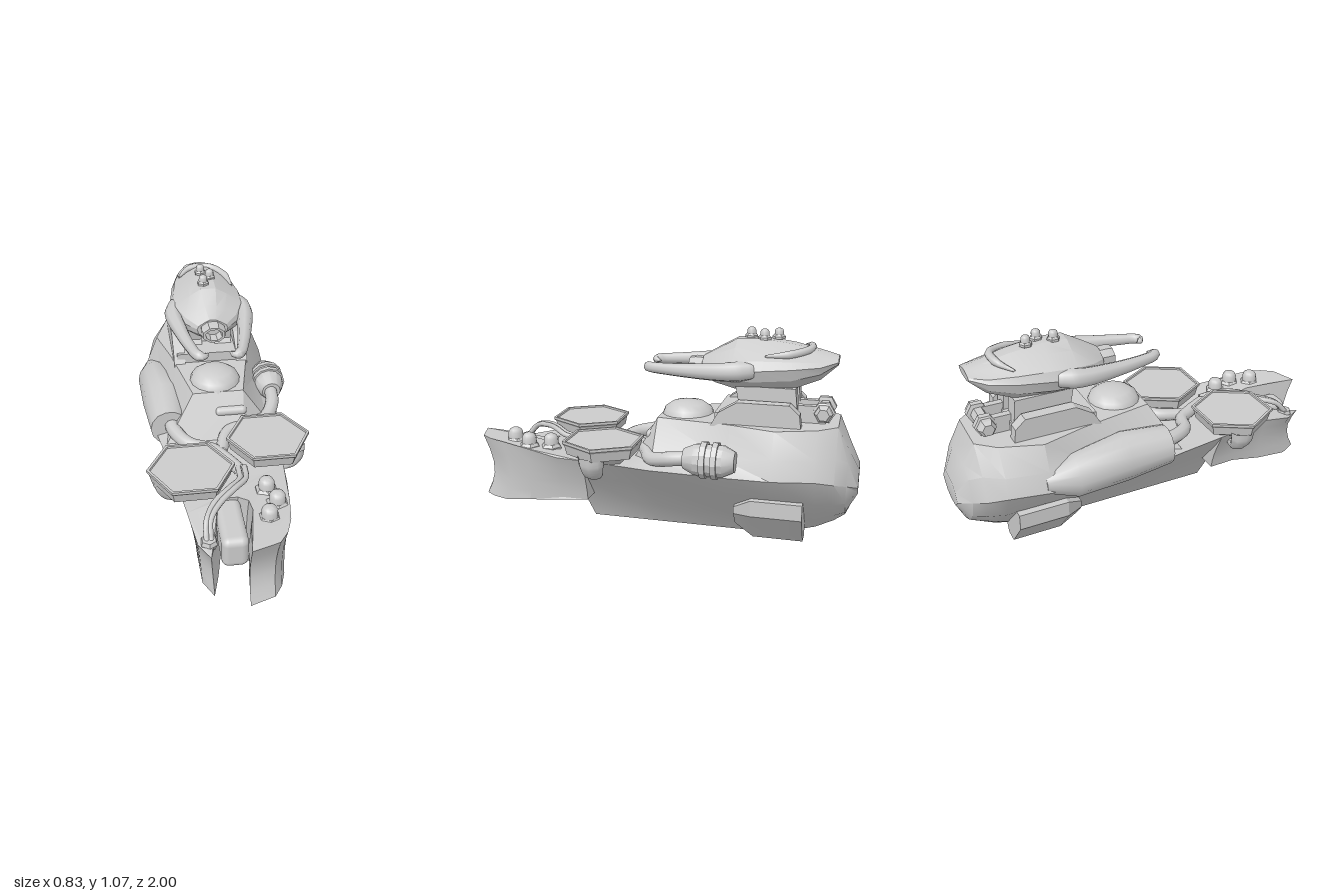
import * as THREE from 'three';
import { toCreasedNormals } from 'three/addons/utils/BufferGeometryUtils.js';
import { RoundedBoxGeometry } from 'three/addons/geometries/RoundedBoxGeometry.js';

const mat = new THREE.MeshStandardMaterial({ color: 0xcccccc, side: THREE.DoubleSide });
const V = (x, y, z) => new THREE.Vector3(x, y, z);
const { lerp, smoothstep, clamp } = THREE.MathUtils;
const MID = -0.01; // centre line of the hull and turret

// Skin closed rings (counter-clockwise seen from +z, z increasing) and cap both ends
function loft(rings, crease = 0.5) {
  const n = rings[0].length, pos = [];
  const tri = (...p) => p.forEach(v => pos.push(v.x, v.y, v.z));
  for (let i = 0; i < rings.length - 1; i++) for (let j = 0; j < n; j++) {
    const k = (j + 1) % n, a = rings[i], b = rings[i + 1];
    tri(a[j], a[k], b[k]);
    tri(a[j], b[k], b[j]);
  }
  [rings[0], rings.at(-1)].forEach((r, e) => {
    const c = r.reduce((s, p) => s.add(p), V(0, 0, 0)).divideScalar(n);
    r.forEach((p, j) => (e ? tri(c, p, r[(j + 1) % n]) : tri(c, r[(j + 1) % n], p)));
  });
  const g = new THREE.BufferGeometry();
  g.setAttribute('position', new THREE.Float32BufferAttribute(pos, 3));
  return toCreasedNormals(g, crease);
}

// Tube through points whose radius follows a list of values
function pipe(points, radii, sides = 10, n = 28) {
  const curve = new THREE.CatmullRomCurve3(points.map(p => V(...p)));
  const g = new THREE.TubeGeometry(curve, n, 1, sides), pos = g.attributes.position, v = V(0, 0, 0);
  for (let i = 0; i < pos.count; i++) {
    const t = Math.floor(i / (sides + 1)) / n, c = curve.getPointAt(t);
    const f = t * (radii.length - 1), k = Math.min(Math.floor(f), radii.length - 2);
    v.fromBufferAttribute(pos, i).sub(c).multiplyScalar(lerp(radii[k], radii[k + 1], f - k)).add(c);
    pos.setXYZ(i, v.x, v.y, v.z);
  }
  return toCreasedNormals(g, 0.9);
}

const lathe = (pts, seg, crease = 0.6) =>
  toCreasedNormals(new THREE.LatheGeometry(pts.map(p => new THREE.Vector2(...p)), seg), crease);

// Side profile in (z, y) given a thickness along x, centred on x = 0
function slab(profile, width) {
  const s = new THREE.Shape(profile.map(([z, y]) => new THREE.Vector2(-z, y)));
  return new THREE.ExtrudeGeometry(s, { depth: width, bevelEnabled: false })
    .translate(0, 0, -width / 2).rotateY(Math.PI / 2);
}

const mirrorRing = half => [...half, ...half.slice().reverse().map(p => V(-p.x, p.y, p.z))];

export function createModel() {
  const model = new THREE.Group();
  const add = (name, geo, x = 0, y = 0, z = 0, parent = model) => {
    const m = new THREE.Mesh(geo, mat);
    m.name = name;
    m.position.set(x, y, z);
    parent.add(m);
    return m;
  };

  // Main hull: z, keel height, then (x, y) from low side up to deck edge
  const stations = [
    [-1, 0.27, 0.07, 0.28, 0.1, 0.3, 0.13, 0.33, 0.1, 0.37, 0.06, 0.4],
    [-0.945, 0.14, 0.08, 0.18, 0.17, 0.26, 0.205, 0.36, 0.17, 0.47, 0.09, 0.51],
    [-0.89, 0.1, 0.09, 0.16, 0.2, 0.26, 0.26, 0.38, 0.22, 0.5, 0.12, 0.625],
    [-0.8, 0.055, 0.1, 0.13, 0.23, 0.26, 0.305, 0.4, 0.28, 0.5, 0.2, 0.625],
    [-0.6, 0, 0.1, 0.12, 0.25, 0.28, 0.345, 0.4, 0.32, 0.5, 0.27, 0.625],
    [-0.38, 0, 0.1, 0.12, 0.25, 0.28, 0.345, 0.4, 0.27, 0.46, 0.21, 0.625],
    [0, 0, 0.08, 0.12, 0.22, 0.28, 0.33, 0.4, 0.26, 0.42, 0.13, 0.615],
    [0.12, 0, 0.075, 0.12, 0.21, 0.28, 0.31, 0.4, 0.28, 0.4, 0.12, 0.4],
    [0.385, 0, 0.05, 0.12, 0.18, 0.28, 0.265, 0.4, 0.25, 0.4, 0.12, 0.4],
  ];
  add('hull', loft(stations.map(([z, keel, ...p]) => {
    const rake = z > 0.3 ? 0.3 : 0;
    const half = [V(0.002, keel, z)];
    for (let i = 0; i < p.length; i += 2) half.push(V(p[i], p[i + 1], z + rake * Math.min(p[i + 1], 0.15)));
    return mirrorRing(half);
  }), 0.5), MID);

  // Forked prow: plan shape pulled downward, then flared and pinched at the nose
  const plan = [[0.265, 0.36], [0.255, 0.5], [0.23, 0.68], [0.205, 0.82], [0.175, 0.9], [0.13, 0.96], [0, 1], [0.02, 0.85],
    [0.05, 0.72], [0.045, 0.64], [0, 0.6], [-0.06, 0.6], [-0.105, 0.66], [-0.13, 0.8], [-0.165, 0.92], [-0.215, 0.83],
    [-0.245, 0.66], [-0.265, 0.5], [-0.285, 0.36]];
  const prow = new THREE.ExtrudeGeometry(new THREE.Shape(plan.map(p => new THREE.Vector2(...p))),
    { depth: 0.28, steps: 5, bevelEnabled: false }).rotateX(Math.PI / 2).translate(0, 0.4, 0);
  const pp = prow.attributes.position;
  for (let i = 0; i < pp.count; i++) {
    let x = pp.getX(i), y = pp.getY(i), z = pp.getZ(i);
    const t = clamp((y - 0.12) / 0.28, 0, 1), f = smoothstep(z, 0.45, 1);
    x *= lerp(lerp(0.68, 0.92, smoothstep(z, 0.4, 0.85)), 1, Math.pow(t, 1.4));
    y += (1 - t) * 0.04 * (1 - smoothstep(z, 0.5, 0.8));
    y += t * t * (x < -0.1 ? -0.045 * smoothstep(z, 0.66, 0.85) : 0.05 * smoothstep(z, 0.45, 0.85));
    z -= 0.05 * f * Math.sin(Math.PI * t);
    pp.setXYZ(i, x, y, z);
  }
  add('prow', toCreasedNormals(prow, 0.5));
  add('prowCore', new RoundedBoxGeometry(0.125, 0.16, 0.34, 3, 0.035), -0.05, 0.32, 0.71);
  add('hornCup', lathe([[0, -0.03], [0.03, -0.03], [0.042, 0], [0.035, 0.02], [0, 0.02]], 6, 0.3), -0.165, 0.365, 0.83);

  // Side fairing that the left-hand pipe leaves from
  add('sideFairing', loft([[-0.62, 0.31, 0.43, 0.04, 0.05], [-0.47, 0.3, 0.43, 0.1, 0.11], [-0.2, 0.265, 0.44, 0.125, 0.125],
    [0.04, 0.265, 0.44, 0.1, 0.1]].map(([z, x, y, rx, ry]) => Array.from({ length: 14 }, (_, j) => {
    const a = j / 14 * Math.PI * 2;
    return V(-x + rx * Math.cos(a), y + ry * Math.sin(a), z);
  })), 0.8));

  // Lower side pods
  const pod = [[0.05, 0.07], [0.07, 0.027], [0.14, 0.027], [0.278, 0.19], [0.278, 0.27], [0.18, 0.27]];
  for (const s of [1, -1]) add('sidePod', loft([[-0.75, 1], [-0.5, 1], [-0.41, 0.45]].map(([z, k]) => {
    const r = pod.map(([x, y]) => V(s * (0.17 + (x - 0.17) * k), 0.16 + (y - 0.16) * k, z));
    return s > 0 ? r : r.reverse();
  }), 0.5), MID);

  // Hexagonal pads on curved brackets
  const padProfile = [[0, -0.105], [0.12, -0.105], [0.165, -0.068], [0.188, -0.066], [0.2, -0.02], [0.21, -0.01], [0.21, 0.004],
    [0.196, 0.004], [0.193, -0.004], [0, -0.004]];
  for (const [s, z] of [[1, 0.26], [-1, 0.463]]) {
    const pad = new THREE.Group();
    pad.name = 'hexPad';
    model.add(pad);
    add('padPlate', lathe(padProfile, 6, 0.3).rotateY(Math.PI / 2), s * 0.203, 0.507, z, pad);
    add('padBracket', pipe([[s * 0.345, 0.455, 0], [s * 0.34, 0.405, 0], [s * 0.315, 0.36, 0], [s * 0.24, 0.33, 0]],
      [0.045, 0.043, 0.036, 0.028, 0.015], 8).scale(1, 1, 1.5), 0, 0, z + s * 0.02, pad);
  }

  // Domed studs on hexagonal bases
  const stud = (name, x, y, z, k, parent) => {
    const g = new THREE.Group();
    g.name = name;
    g.position.set(x, y, z);
    g.scale.setScalar(k);
    parent.add(g);
    add('studBase', lathe([[0.055, 0], [0.055, 0.02], [0.042, 0.035], [0, 0.035]], 6, 0.3), 0, 0, 0, g);
    add('studDome', lathe([[0.039, 0.03], [0.038, 0.065], [0.03, 0.08], [0.016, 0.088], [0, 0.09]], 12, 0.9), 0, 0, 0, g);
  };
  [[0.14, 0.57], [0.17, 0.68], [0.115, 0.78]].forEach(([x, z]) => stud('prowStud', x, 0.4 + 0.05 * (z - 0.5), z, 1, model));

  // Pipes, prow cables and the ribbed canister
  add('leftPipe', pipe([[-0.26, 0.46, -0.02], [-0.245, 0.45, 0.08], [-0.18, 0.44, 0.19], [-0.07, 0.43, 0.24], [-0.02, 0.43, 0.31], [0.04, 0.43, 0.42]], [0.04, 0.036, 0.034, 0.032]));
  add('rightPipe', pipe([[0.305, 0.475, -0.2], [0.295, 0.46, -0.1], [0.24, 0.435, 0], [0.14, 0.44, 0.05], [0.02, 0.44, 0.12], [-0.03, 0.43, 0.26]], [0.035, 0.036, 0.036, 0.03]));
  for (const o of [0, 0.03]) add('prowCable', pipe([[0.03 + o, 0.45, 0.42], [0.02 + o, 0.46, 0.52], [-0.04 + o, 0.475, 0.6],
    [-0.12 + o, 0.465, 0.68], [-0.168 + o * 0.6, 0.44, 0.77], [-0.175 + o * 0.7, 0.375, 0.83]], [0.014, 0.014], 8));
  add('canister', lathe([[0, -0.125], [0.05, -0.125], [0.078, -0.07], [0.078, -0.045], [0.09, -0.045], [0.09, -0.018], [0.078, -0.018],
    [0.078, 0.01], [0.09, 0.01], [0.09, 0.038], [0.08, 0.038], [0.076, 0.07], [0.05, 0.125], [0, 0.125]], 12, 0.5)
    .rotateX(Math.PI / 2), 0.307, 0.475, -0.305);
  const blister = add('slopeBlister', new RoundedBoxGeometry(0.165, 0.05, 0.1, 3, 0.024), 0.05, 0.53, 0.015);
  blister.rotation.x = 0.4;

  // Pedestal, front dome with its skirt, and rear roller
  add('frontDome', lathe([[0.17, 0], [0.13, 0.1], [0.12, 0.125], [0.085, 0.15], [0.04, 0.16], [0, 0.162]], 16, 0.7), MID, 0.52, -0.13);
  add('turretNeck', new THREE.CylinderGeometry(0.1, 0.12, 0.2, 12), MID, 0.7, -0.54);
  for (const s of [1, -1]) {
    add('pedestalShoulder', slab([[-0.28, 0.61], [-0.32, 0.68], [-0.41, 0.735], [-0.66, 0.735], [-0.71, 0.69], [-0.72, 0.61]], 0.06), MID + s * 0.168, 0, 0);
    add('pedestalColumn', slab([[-0.36, 0.61], [-0.41, 0.7], [-0.39, 0.8], [-0.68, 0.8], [-0.7, 0.61]], 0.09), MID + s * 0.08, 0, 0);
    add('rollerBracket', new THREE.BoxGeometry(0.035, 0.09, 0.15), MID + s * 0.06, 0.665, -0.75);
  }
  add('pedestalBase', new THREE.BoxGeometry(0.36, 0.06, 0.4), MID, 0.645, -0.5);
  add('rearRoller', lathe([[0, -0.13], [0.03, -0.13], [0.045, -0.11], [0.045, -0.085], [0.055, -0.08], [0.055, -0.05], [0.036, -0.045],
    [0.036, 0.045], [0.055, 0.05], [0.055, 0.08], [0.045, 0.085], [0.045, 0.11], [0.03, 0.13], [0, 0.13]], 6, 0.3)
    .rotateZ(Math.PI / 2), MID, 0.68, -0.815);

  // Turret shell: z, half width, bottom, middle and top heights
  const turret = new THREE.Group();
  turret.name = 'turret';
  turret.position.x = MID;
  model.add(turret);
  add('turretShell', loft([[-0.87, 0.08, 0.91, 0.93, 0.95], [-0.79, 0.13, 0.84, 0.91, 0.97], [-0.66, 0.17, 0.79, 0.9, 1],
    [-0.5, 0.195, 0.78, 0.89, 1.02], [-0.38, 0.195, 0.78, 0.88, 1.015], [-0.28, 0.15, 0.8, 0.88, 0.96], [-0.21, 0.08, 0.82, 0.87, 0.92]]
    .map(([z, w, b, m, t]) => mirrorRing([V(w * 0.5, b, z), V(w * 0.9, m - (m - b) * 0.5, z), V(w, m, z),
      V(w * 0.9, m + (t - m) * 0.35, z), V(w * 0.5, m + (t - m) * 0.75, z), V(w * 0.2, t, z)])), 0.4), 0, 0, 0, turret);
  add('muzzle', lathe([[0.06, -0.1], [0.066, 0], [0.06, 0.03], [0.045, 0.03], [0.04, -0.03], [0, -0.03]], 8, 0.3)
    .rotateY(Math.PI / 8).rotateX(Math.PI / 2).scale(1, 0.72, 1), 0, 0.868, -0.17, turret);
  for (const s of [1, -1]) add('pincerArm', pipe([[s * 0.14, 0.89, -0.52], [s * 0.185, 0.88, -0.38], [s * 0.165, 0.87, -0.2],
    [s * 0.13, 0.866, -0.03], [s * 0.105, 0.866, 0.045], [s * 0.075, 0.866, 0.062], [s * 0.055, 0.866, 0.03]],
  [0.02, 0.045, 0.05, 0.046, 0.043, 0.04, 0.036, 0.033, 0.03, 0.028, 0.026, 0.003], 8, 44), 0, 0, 0, turret);
  add('turretArc', pipe([[-0.13, 0.955, -0.67], [-0.06, 0.98, -0.73], [0.05, 0.98, -0.73], [0.12, 0.965, -0.65], [0.145, 0.955, -0.53]],
    [0.006, 0.02, 0.02, 0.02, 0.006], 8), 0, 0, 0, turret);
  [[-0.02, -0.575], [0.022, -0.51], [-0.02, -0.44]].forEach(([x, z]) => stud('turretStud', x, 1.015, z, 0.58, turret));

  return model;
}
